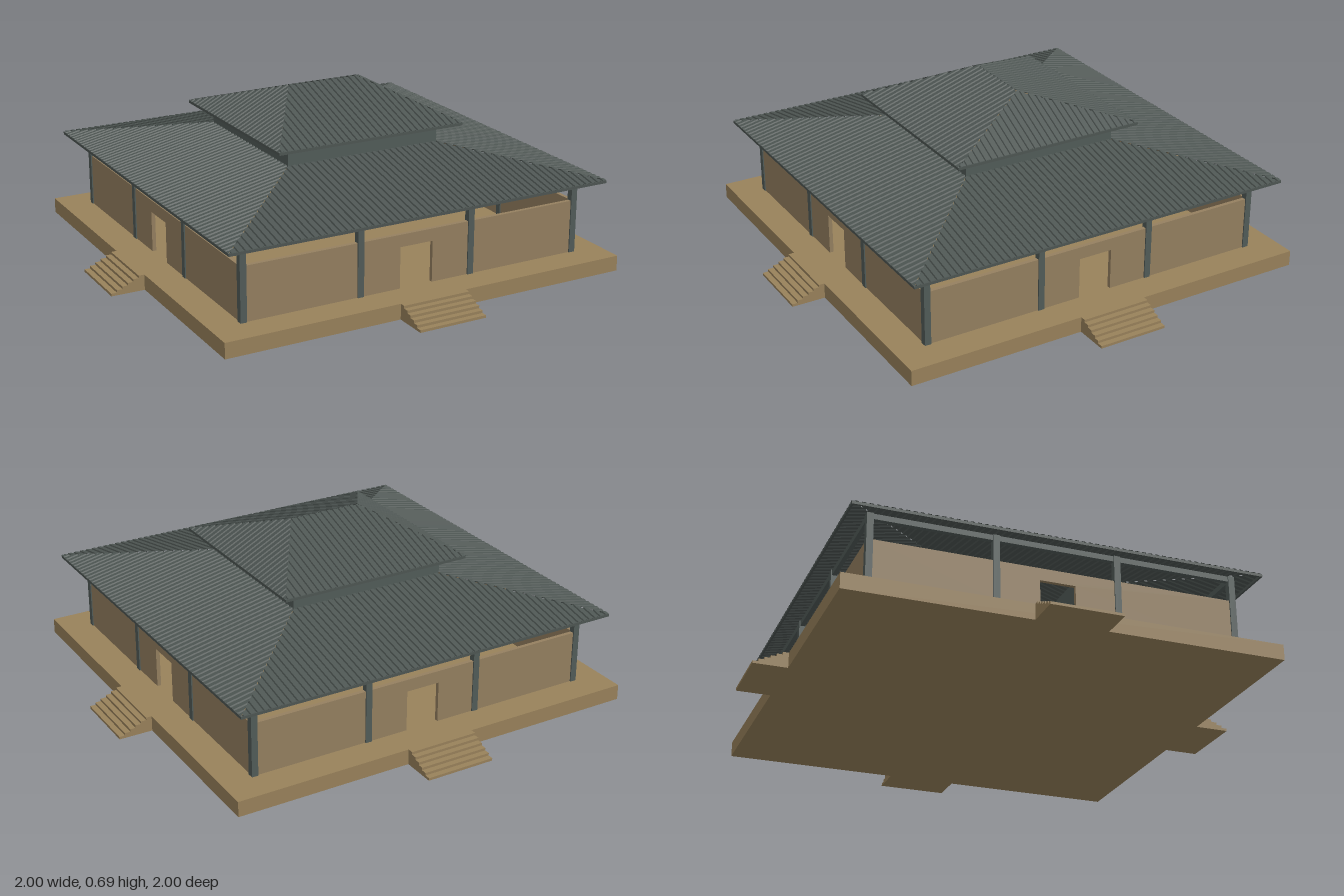
import * as THREE from 'three';

const stone = new THREE.MeshStandardMaterial({ color: 0x99825b });
stone.name = 'sandstone';
const plaster = new THREE.MeshStandardMaterial({ color: 0x958060 });
plaster.name = 'earth wall';
const timber = new THREE.MeshStandardMaterial({ color: 0x525c59 });
timber.name = 'grey timber';
const sheet = new THREE.MeshStandardMaterial({ color: 0x4e5653, side: THREE.DoubleSide, flatShading: true });
sheet.name = 'roof sheet';

const FLOOR = 0.063, WALL = 0.728;

// Box given by its x, y and z ranges
function box(parent, name, mat, x0, x1, y0, y1, z0, z1) {
  const m = new THREE.Mesh(new THREE.BoxGeometry(x1 - x0, y1 - y0, z1 - z0), mat);
  m.position.set((x0 + x1) / 2, (y0 + y1) / 2, (z0 + z1) / 2);
  m.name = name;
  parent.add(m);
  return m;
}

// One ribbed roof plane facing +z, cut along its hips
function roofSlope({ eave, top, dEave, dTop, y0, y1, ribs }) {
  const pitch = (2 * eave) / ribs, rise = 0.005;
  const profile = [];
  for (let i = 0; i < ribs; i++) {
    const s = -eave + i * pitch;
    profile.push([s, 0], [s + pitch * 0.3, 0], [s + pitch * 0.4, rise], [s + pitch * 0.9, rise]);
  }
  profile.push([eave, 0]);
  const pos = [], idx = [];
  profile.forEach(([s, h], i) => {
    const t = Math.min(1, (eave - Math.abs(s)) / (eave - top));
    pos.push(s, y0 + h, dEave);
    pos.push(s, y0 + (y1 - y0) * t + h, dEave + (dTop - dEave) * t);
    if (i) {
      const a = 2 * i - 2;
      idx.push(a, a + 2, a + 3, a, a + 3, a + 1);
    }
  });
  const g = new THREE.BufferGeometry();
  g.setAttribute('position', new THREE.Float32BufferAttribute(pos, 3));
  g.setIndex(idx);
  const flat = g.toNonIndexed();
  flat.computeVertexNormals();
  return flat;
}

// Four slopes and an eave board; topX and topZ are the half sizes of the upper edge
function hipRoof(name, eave, topX, topZ, y0, y1, ribs) {
  const roof = new THREE.Group();
  roof.name = name;
  for (let k = 0; k < 4; k++) {
    const alongX = k % 2 === 0;
    const side = new THREE.Group();
    side.name = 'roofSide';
    side.rotation.y = k * Math.PI / 2;
    const slope = new THREE.Mesh(roofSlope({
      eave, dEave: eave, y0, y1, ribs,
      top: alongX ? topX : topZ, dTop: alongX ? topZ : topX,
    }), sheet);
    slope.name = 'ribbedSlope';
    side.add(slope);
    box(side, 'eaveBoard', sheet, -eave, eave, y0 - 0.009, y0 + 0.002, eave - 0.008, eave);
    roof.add(side);
  }
  return roof;
}

export function createModel() {
  const model = new THREE.Group();
  model.name = 'pavilion';

  box(model, 'platform', stone, -0.862, 0.862, 0, FLOOR, -0.862, 0.862);

  // The four sides are alike: stairs, wall with doorway, columns, beams
  for (let k = 0; k < 4; k++) {
    const side = new THREE.Group();
    side.name = 'side';
    side.rotation.y = k * Math.PI / 2;
    model.add(side);

    const stairs = new THREE.Group();
    stairs.name = 'stairs';
    side.add(stairs);
    const n = 6, run = 0.138 / n;
    for (let i = 0; i < n; i++) {
      const z = 0.862 + i * run;
      box(stairs, 'step', stone, -0.143, 0.143, 0, FLOOR * (n - i) / n, z, z + run);
    }

    // Wall outline with the doorway cut out of its foot
    const w = WALL, d = 0.071, thick = 0.016;
    const outline = new THREE.Shape([
      [-w, FLOOR], [-d, FLOOR], [-d, 0.23], [d, 0.23], [d, FLOOR], [w, FLOOR], [w, 0.28], [-w, 0.28],
    ].map(([x, y]) => new THREE.Vector2(x, y)));
    const wall = new THREE.Mesh(
      new THREE.ExtrudeGeometry(outline, { depth: thick, bevelEnabled: false }), plaster);
    wall.position.z = WALL - thick / 2;
    wall.name = 'wall';
    side.add(wall);

    // Three columns per side; the fourth belongs to the next side
    for (const x of [-WALL, -0.243, 0.243]) {
      box(side, 'column', timber, x - 0.013, x + 0.013, FLOOR, 0.385, WALL - 0.013, WALL + 0.013);
    }
    box(side, 'ringBeam', timber, -WALL, WALL, 0.362, 0.384, WALL - 0.009, WALL + 0.009);

    // Raised wall between the two roofs
    box(side, 'upperWall', timber, -0.335, 0.335, 0.462, 0.566, 0.32, 0.335);
  }

  model.add(hipRoof('lowerRoof', 0.82, 0.333, 0.333, 0.371, 0.472, 60));
  model.add(hipRoof('upperRoof', 0.41, 0.155, 0, 0.558, 0.69, 30));
  return model;
}
